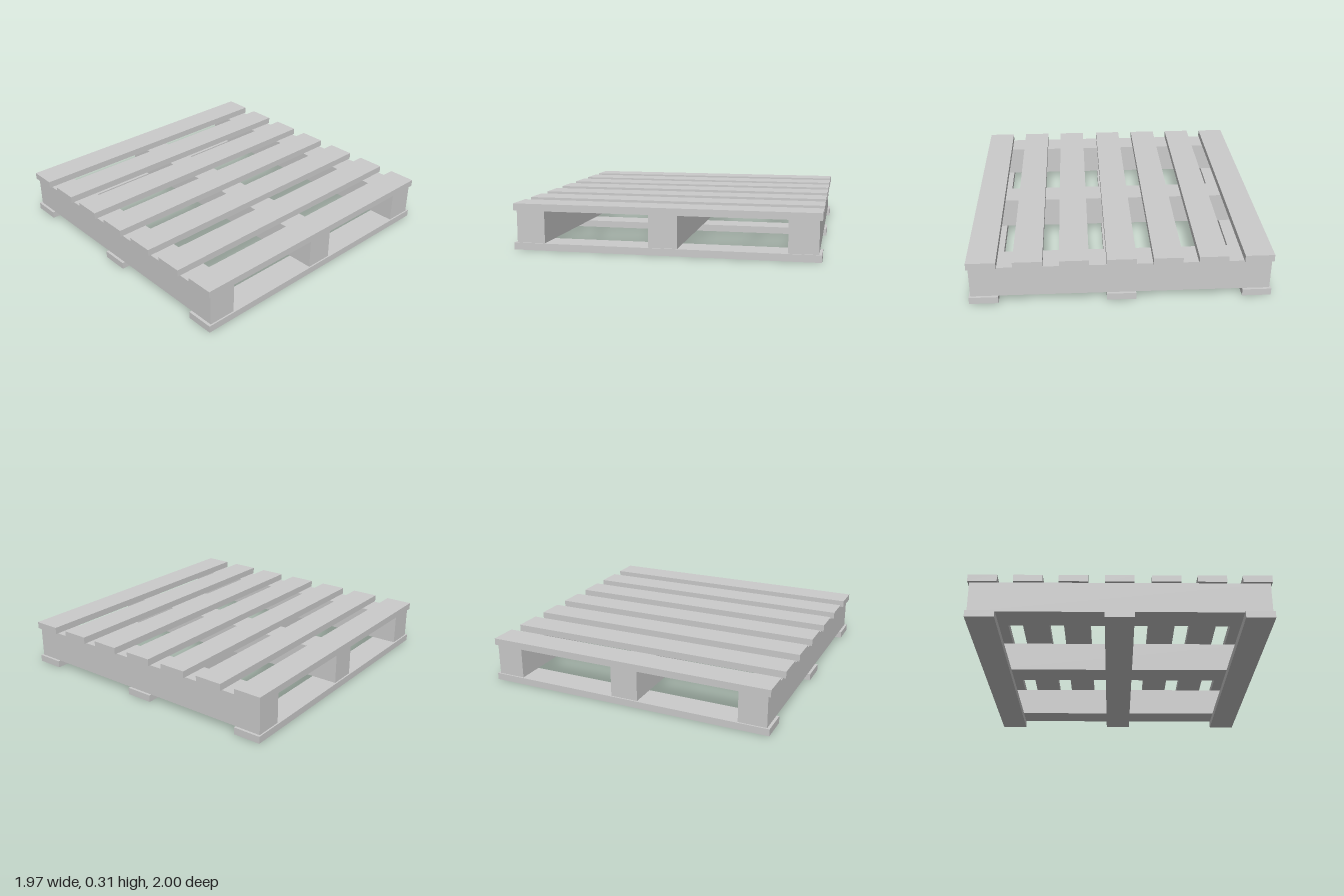
import * as THREE from 'three';

const material = new THREE.MeshStandardMaterial({ color: 0xcccccc, flatShading: true });

// Plank resting on height y
function plank(name, width, height, depth, x, y, z) {
  const mesh = new THREE.Mesh(new THREE.BoxGeometry(width, height, depth), material);
  mesh.name = name;
  mesh.position.set(x, y + height / 2, z);
  return mesh;
}

export function createModel() {
  const pallet = new THREE.Group();
  pallet.name = 'pallet';

  const plankWidth = 0.19;
  const boardHeight = 0.047;
  const beamHeight = 0.213;

  // Bottom boards, running front to back
  [-0.888, -0.003, 0.888].forEach((x, i) =>
    pallet.add(plank(`bottomBoard${i + 1}`, plankWidth, boardHeight, 2, x, 0, 0)));

  // Thick cross beams, running side to side
  [-0.887, 0, 0.886].forEach((z, i) =>
    pallet.add(plank(`crossBeam${i + 1}`, 1.945, beamHeight, plankWidth, 0, boardHeight, z)));

  // Deck slats, running front to back
  [-0.888, -0.594, -0.301, -0.003, 0.3, 0.595, 0.888].forEach((x, i) =>
    pallet.add(plank(`deckSlat${i + 1}`, plankWidth, boardHeight, 2, x, boardHeight + beamHeight, 0)));

  return pallet;
}
